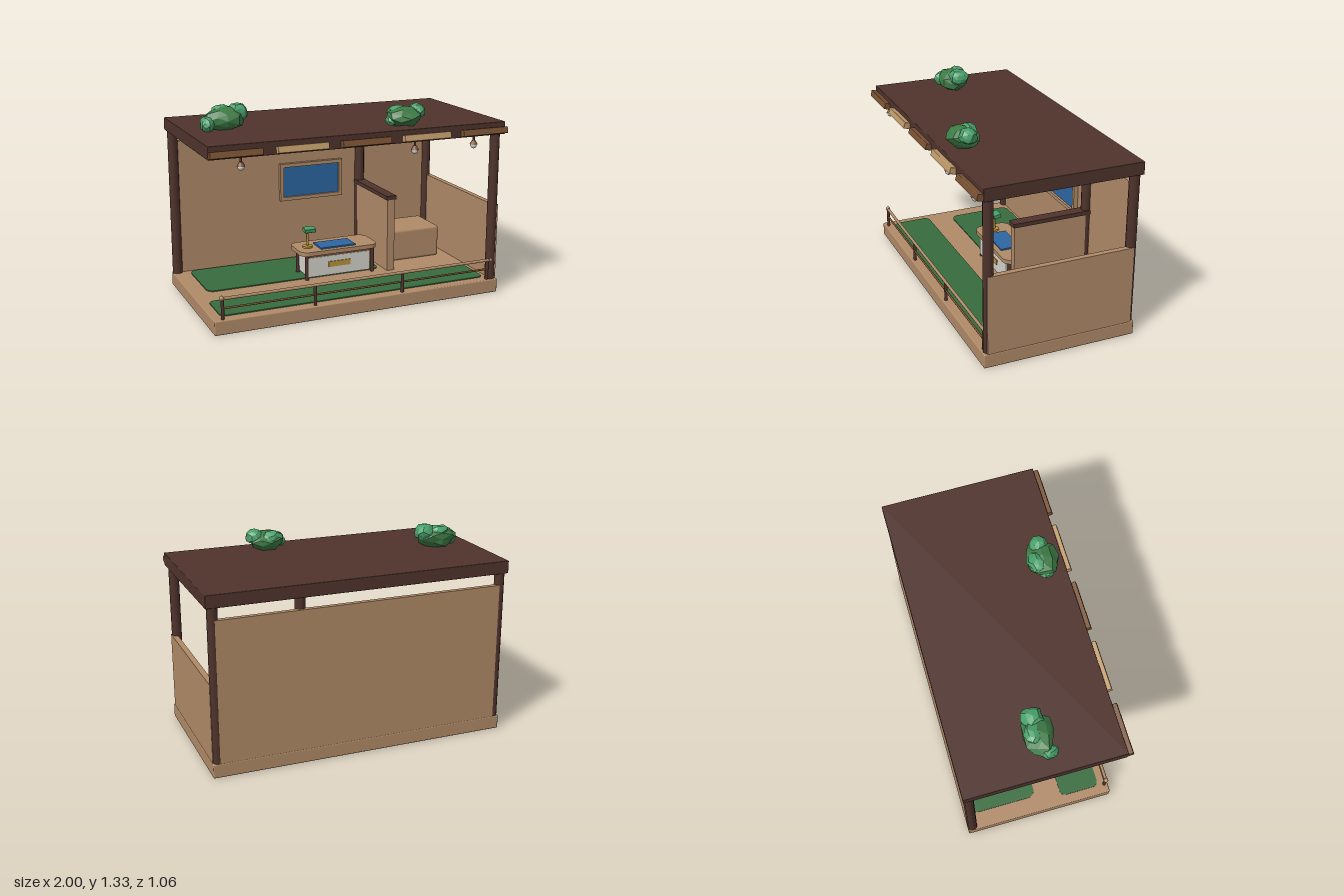
import * as THREE from 'three';
import { RoundedBoxGeometry } from 'three/addons/geometries/RoundedBoxGeometry.js';

const mat = (name, color, flatShading = false) => {
  const m = new THREE.MeshStandardMaterial({ color, flatShading });
  m.name = name;
  return m;
};

export function createModel() {
  const root = new THREE.Group();
  root.name = 'pavilion';
  const tan = mat('tan wood', 0xb08a67);
  const dark = mat('dark timber', 0x4f332c);
  const brown = mat('mid brown', 0x7a5233);
  const light = mat('light wood', 0xc09a6a);
  const green = mat('carpet green', 0x376c3e);
  const bushGreen = mat('foliage', 0x3d7a45, true);
  const leaf = mat('bright leaf', 0x48a06a, true);
  const blue = mat('screen blue', 0x2d66a3);
  const white = mat('off white', 0xd4d2cc);
  const gold = mat('brass', 0xb8923a);

  const add = (name, geo, material, x = 0, y = 0, z = 0, parent = root) => {
    const m = new THREE.Mesh(geo, material);
    m.name = name;
    m.position.set(x, y, z);
    parent.add(m);
    return m;
  };
  // box given by its limits on each axis, with an optional rounded edge
  const box = (name, material, [x0, x1], [y0, y1], [z0, z1], r = 0) => {
    const s = [x1 - x0, y1 - y0, z1 - z0];
    const geo = r ? new RoundedBoxGeometry(...s, 2, r) : new THREE.BoxGeometry(...s);
    return add(name, geo, material, (x0 + x1) / 2, (y0 + y1) / 2, (z0 + z1) / 2);
  };
  const rod = (name, material, r, y0, y1, x, z, sides = 10) =>
    add(name, new THREE.CylinderGeometry(r, r, y1 - y0, sides), material, x, (y0 + y1) / 2, z);
  // flat slab with rounded corners in plan
  const slab = (name, material, [x0, x1], [y0, y1], [z0, z1], r) => {
    const s = new THREE.Shape();
    const a = -z1, b = -z0;
    s.absarc(x1 - r, a + r, r, -Math.PI / 2, 0);
    s.absarc(x1 - r, b - r, r, 0, Math.PI / 2);
    s.absarc(x0 + r, b - r, r, Math.PI / 2, Math.PI);
    s.absarc(x0 + r, a + r, r, Math.PI, Math.PI * 1.5);
    s.closePath();
    const g = new THREE.ExtrudeGeometry(s, { depth: y1 - y0, bevelEnabled: false, curveSegments: 6 });
    return add(name, g.rotateX(-Math.PI / 2), material, 0, y0, 0);
  };

  // shell: base, walls, roof
  box('base', tan, [-0.99, 0.99], [0, 0.093], [-0.525, 0.487], 0.008);
  box('backWall', tan, [-0.945, 0.945], [0.09, 1.01], [-0.523, -0.49]);
  box('sideWall', tan, [0.95, 0.987], [0.09, 0.608], [-0.5, 0.463]);
  box('roof', dark, [-1, 1], [1.087, 1.17], [-0.53, 0.49], 0.004);
  for (const [x, z] of [[-0.957, -0.492], [0.952, -0.492], [0.952, 0.445], [0.403, -0.475]])
    rod('post', dark, 0.033, 0.09, 1.09, x, z);

  // tilted boards along the roof front
  for (let i = 0; i < 5; i++) {
    const b = add('fasciaBoard', new RoundedBoxGeometry(0.327, 0.043, 0.045, 1, 0.004),
      i % 2 ? light : brown, (i - 2) * 0.4175, 1.118, 0.506);
    b.rotation.x = -0.25;
  }

  // hanging lamps
  for (const x of [-0.79, 0.36, 0.787]) {
    rod('lampStem', dark, 0.008, 1.05, 1.09, x, 0.455, 8);
    add('lampCap', new THREE.CylinderGeometry(0.012, 0.026, 0.025, 12), brown, x, 1.043, 0.455);
    add('lampBulb', new THREE.SphereGeometry(0.021, 12, 8), white, x, 1.024, 0.455);
  }

  // partition and bench
  box('partition', tan, [0.378, 0.432], [0.09, 0.6], [-0.49, 0.045]);
  box('partitionCap', dark, [0.368, 0.44], [0.598, 0.625], [-0.49, 0.053]);
  box('bench', tan, [0.478, 0.873], [0.09, 0.315], [-0.43, -0.125], 0.02);

  // carpets
  slab('frontCarpet', green, [-0.93, 0.92], [0.09, 0.1], [0.15, 0.42], 0.04);
  slab('rearCarpet', green, [-0.88, 0.35], [0.09, 0.1], [-0.47, -0.02], 0.05);

  // front railing
  for (const x of [-0.93, -0.325, 0.285, 0.92]) rod('railPost', dark, 0.011, 0.09, 0.225, x, 0.462, 8);
  for (const [r, y, m] of [[0.0105, 0.225, tan], [0.007, 0.163, brown]])
    add('rail', new THREE.CylinderGeometry(r, r, 1.88, 8).rotateZ(Math.PI / 2), m, 0.005, y, 0.462);
  for (const x of [-0.935, 0.945])
    add('railKnob', new THREE.SphereGeometry(0.016, 10, 8), tan, x, 0.228, 0.462);

  // wall screen: four frame bars around a thin panel
  for (const y of [0.525, 0.765]) box('screenFrame', tan, [-0.208, 0.262], [y, y + 0.025], [-0.495, -0.46]);
  for (const x of [-0.208, 0.237]) box('screenFrame', tan, [x, x + 0.025], [0.55, 0.765], [-0.495, -0.46]);
  box('screen', blue, [-0.183, 0.237], [0.55, 0.765], [-0.484, -0.476]);

  // desk
  slab('deskTop', tan, [-0.25, 0.31], [0.27, 0.298], [-0.2, 0.05], 0.06);
  box('deskBody', white, [-0.195, 0.255], [0.115, 0.25], [-0.165, 0.025]);
  box('deskApron', brown, [-0.2, 0.26], [0.25, 0.27], [-0.17, 0.02]);
  for (const x of [-0.2, 0.28]) for (const z of [-0.16, 0.01])
    rod('deskLeg', dark, 0.014, 0.095, 0.27, x, z, 8);
  box('deskPlate', gold, [-0.05, 0.11], [0.172, 0.21], [0.025, 0.031]);
  box('deskPad', blue, [-0.1, 0.152], [0.298, 0.308], [-0.125, 0.015]);

  // desk lamp
  rod('deskLampBase', gold, 0.034, 0.298, 0.31, -0.165, -0.07, 14);
  rod('deskLampStem', gold, 0.008, 0.31, 0.41, -0.165, -0.07, 8);
  const head = box('deskLampHead', leaf, [-0.19, -0.11], [0.405, 0.432], [-0.1, -0.045], 0.004);
  head.rotation.x = 0.15;

  // faceted roof shrubs, flattened where they meet the roof
  const lump = (m, x, y, z, sx, sy, sz, seed) => {
    const g = new THREE.IcosahedronGeometry(1, 1);
    const p = g.attributes.position;
    const v = new THREE.Vector3();
    for (let i = 0; i < p.count; i++) {
      v.fromBufferAttribute(p, i);
      const h = Math.sin(Math.round(v.x * 50) * 1.7 + Math.round(v.y * 50) * 2.9 + Math.round(v.z * 50) * 4.3 + seed) * 43.7;
      v.multiplyScalar(0.86 + 0.24 * (h - Math.floor(h)));
      p.setXYZ(i, v.x * sx, Math.max(v.y * sy, 1.168 - y), v.z * sz);
    }
    g.computeVertexNormals();
    add('shrub', g, m, x, y, z);
  };
  lump(bushGreen, -0.75, 1.23, 0, 0.135, 0.08, 0.105, 1);
  lump(leaf, -0.655, 1.268, -0.01, 0.07, 0.058, 0.07, 2);
  lump(leaf, -0.865, 1.21, 0.035, 0.045, 0.055, 0.06, 3);
  lump(leaf, -0.75, 1.277, -0.03, 0.07, 0.04, 0.06, 4);
  lump(bushGreen, 0.335, 1.225, 0.35, 0.125, 0.066, 0.105, 5);
  lump(leaf, 0.42, 1.255, 0.35, 0.06, 0.052, 0.06, 6);
  lump(leaf, 0.31, 1.25, 0.31, 0.075, 0.045, 0.06, 7);
  lump(leaf, 0.24, 1.21, 0.36, 0.035, 0.035, 0.05, 8);

  return root;
}
